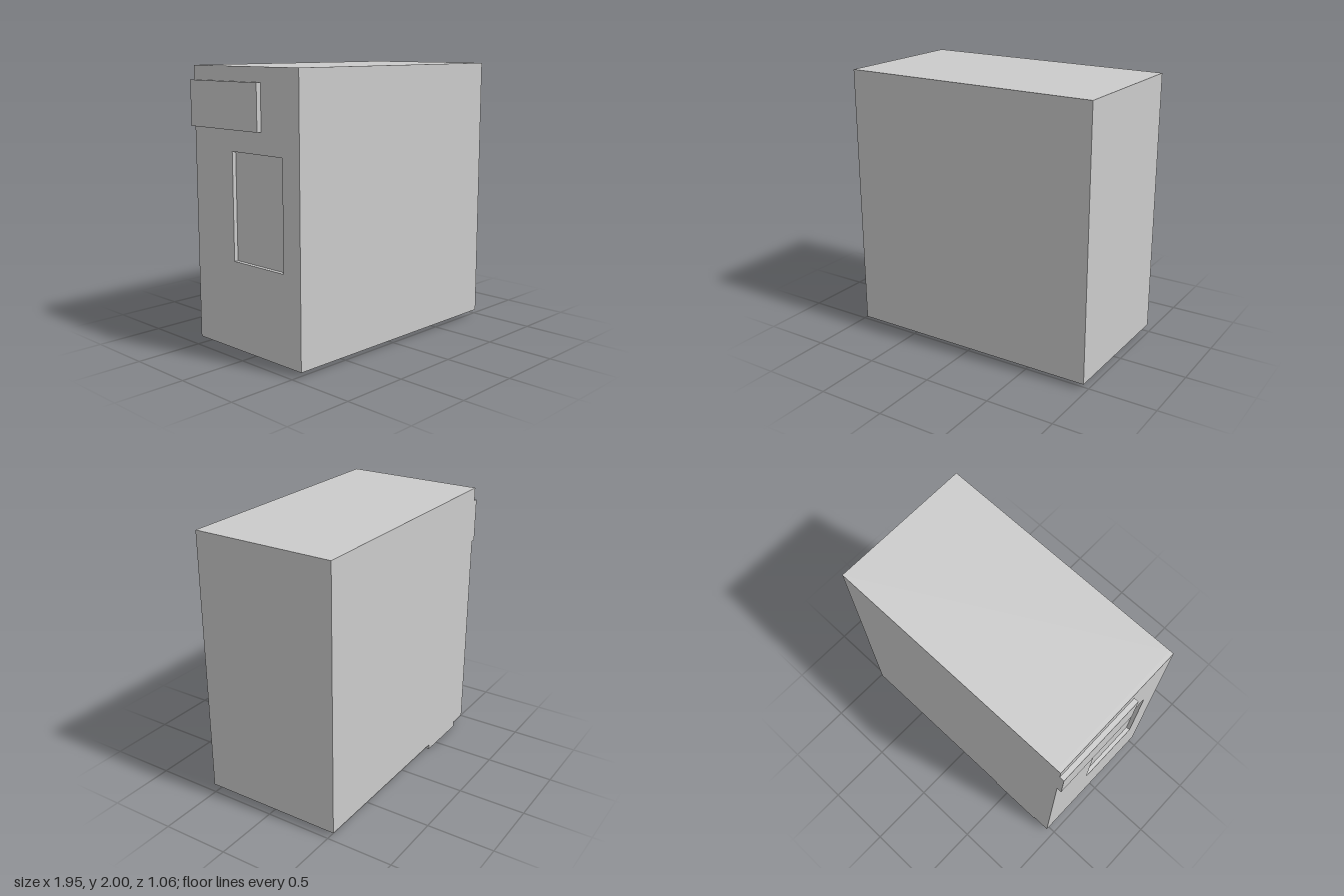
import * as THREE from 'three';

const material = new THREE.MeshStandardMaterial({ color: 0xcccccc, flatShading: true });

// Box given by its min and max along each axis
function box(name, [x0, x1], [y0, y1], [z0, z1]) {
  const mesh = new THREE.Mesh(new THREE.BoxGeometry(x1 - x0, y1 - y0, z1 - z0), material);
  mesh.position.set((x0 + x1) / 2, (y0 + y1) / 2, (z0 + z1) / 2);
  mesh.name = name;
  return mesh;
}

function rectangle(Type, [z0, z1], [y0, y1]) {
  const path = new Type();
  path.moveTo(z0, y0);
  path.lineTo(z1, y0);
  path.lineTo(z1, y1);
  path.lineTo(z0, y1);
  path.closePath();
  return path;
}

export function createModel() {
  const group = new THREE.Group();
  group.name = 'cabinet';

  const sideX = -0.945, recessDepth = 0.03;
  const height = [0.04, 2], depth = [-0.53, 0.53];

  // Main body, up to the floor of the side recess
  group.add(box('body', [sideX + recessDepth, 0.975], height, depth));

  // Right side skin with a rectangular opening that forms the recess
  const outline = rectangle(THREE.Shape, depth, height);
  outline.holes.push(rectangle(THREE.Path, [-0.13, 0.37], [0.67, 1.43]));
  const skin = new THREE.ExtrudeGeometry(outline, { depth: recessDepth, bevelEnabled: false });
  skin.rotateY(-Math.PI / 2);
  const sidePanel = new THREE.Mesh(skin, material);
  sidePanel.position.x = sideX + recessDepth;
  sidePanel.name = 'recessedSidePanel';
  group.add(sidePanel);

  // Raised plate near the top of the right side
  group.add(box('sidePlate', [-0.98, sideX], [1.58, 1.9], [-0.53, 0.17]));

  // Raised plates underneath; the first reaches the back edge
  const plates = [[-0.805, -0.38], [-0.325, 0.065], [0.105, 0.495], [0.535, 0.925]];
  plates.forEach((span, i) => {
    group.add(box(`basePlate${i + 1}`, span, [0, 0.04], [i === 0 ? -0.53 : -0.35, 0.28]));
  });

  return group;
}
